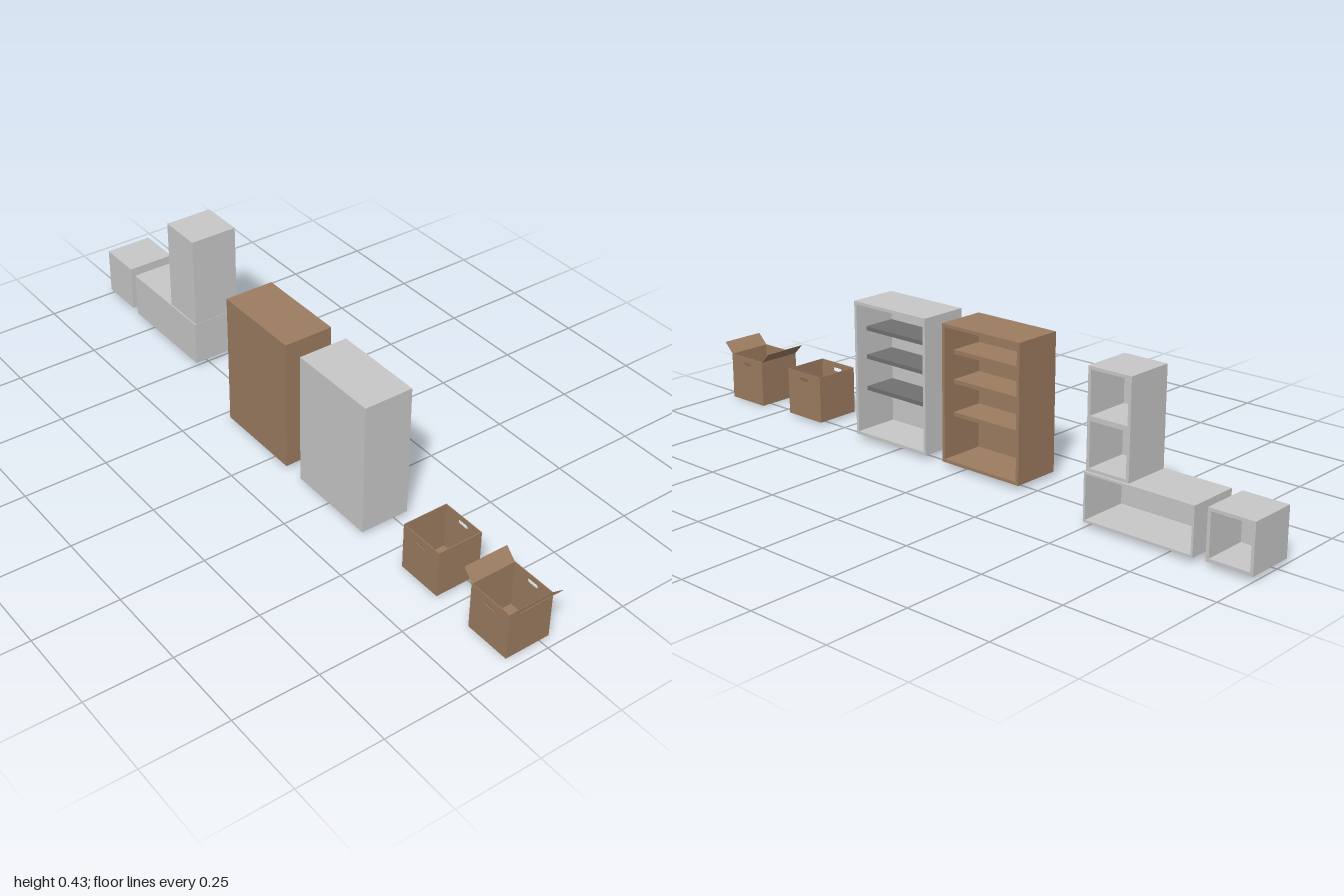
import * as THREE from 'three';

const grey = new THREE.MeshStandardMaterial({ color: 0xc8c8c8 });
grey.name = 'light grey';
const darkGrey = new THREE.MeshStandardMaterial({ color: 0x707070 });
darkGrey.name = 'dark grey';
const brown = new THREE.MeshStandardMaterial({ color: 0x9c7c60, side: THREE.DoubleSide });
brown.name = 'cardboard brown';

// Board given by its two extreme corners
function board(parent, name, mat, [x0, x1], [y0, y1], [z0, z1]) {
  const mesh = new THREE.Mesh(new THREE.BoxGeometry(x1 - x0, y1 - y0, z1 - z0), mat);
  mesh.position.set((x0 + x1) / 2, (y0 + y1) / 2, (z0 + z1) / 2);
  mesh.name = name;
  parent.add(mesh);
  return mesh;
}

// Cabinet with a closed back at -x and an open face at +x
function cabinet(name, mat, x, y, z, t) {
  const g = new THREE.Group();
  g.name = name;
  const innerY = [y[0] + t, y[1] - t];
  board(g, 'bottomPanel', mat, x, [y[0], innerY[0]], z);
  board(g, 'topPanel', mat, x, [innerY[1], y[1]], z);
  board(g, 'frontSidePanel', mat, x, innerY, [z[1] - t, z[1]]);
  board(g, 'rearSidePanel', mat, x, innerY, [z[0], z[0] + t]);
  board(g, 'backPanel', mat, [x[0], x[0] + t], innerY, [z[0] + t, z[1] - t]);
  return g;
}

// Bookcase: cabinet with three recessed shelves
function bookcase(name, mat, shelfMat, z) {
  const t = 0.009;
  const g = cabinet(name, mat, [-0.113, 0.035], [0.013, 0.412], z, t);
  for (const y of [0.145, 0.24, 0.325]) {
    board(g, 'shelf', shelfMat, [-0.113 + t, -0.002], [y - 0.006, y + 0.006], [z[0] + t, z[1] - t]);
  }
  return g;
}

// Open carton with a hand hole in both x sides
function carton(name, y0, z0) {
  const g = new THREE.Group();
  g.name = name;
  const w = 0.138, h = 0.14, t = 0.002;
  const x0 = -0.107, x1 = x0 + w, z1 = z0 + w;
  board(g, 'floor', brown, [x0, x1], [y0, y0 + t], [z0, z1]);
  board(g, 'frontWall', brown, [x0, x1], [y0 + t, y0 + h], [z1 - t, z1]);
  board(g, 'rearWall', brown, [x0, x1], [y0 + t, y0 + h], [z0, z0 + t]);

  const shape = new THREE.Shape();
  const a = w / 2 - t;
  shape.moveTo(-a, t).lineTo(a, t).lineTo(a, h).lineTo(-a, h).closePath();
  const hole = new THREE.Path();
  const r = 0.006, c = 0.012, cy = 0.118;
  hole.absarc(c, cy, r, -Math.PI / 2, Math.PI / 2, false);
  hole.absarc(-c, cy, r, Math.PI / 2, Math.PI * 1.5, false);
  hole.closePath();
  shape.holes.push(hole);
  const geo = new THREE.ExtrudeGeometry(shape, { depth: t, bevelEnabled: false, curveSegments: 5 });
  geo.rotateY(Math.PI / 2);
  for (const x of [x0, x1 - t]) {
    const wall = new THREE.Mesh(geo, brown);
    wall.name = 'handleWall';
    wall.position.set(x, y0, (z0 + z1) / 2);
    g.add(wall);
  }
  return g;
}

// Lid flap, hinged on a wall top and leaning outwards at 45 degrees
function flap(name, z, side) {
  const geo = new THREE.BoxGeometry(0.136, 0.045, 0.0015).translate(0, 0.0225, 0);
  const mesh = new THREE.Mesh(geo, brown);
  mesh.name = name;
  mesh.position.set(-0.038, 0.139, z);
  mesh.rotation.x = side * Math.PI / 4;
  return mesh;
}

export function createModel() {
  const model = new THREE.Group();
  model.name = 'furnitureSet';

  // Cartons
  const openCarton = carton('flappedCarton', 0, 0.83);
  openCarton.add(flap('frontFlap', 0.967, 1), flap('rearFlap', 0.831, -1));
  model.add(openCarton, carton('plainCarton', 0.007, 0.569));

  // Bookcases
  model.add(bookcase('greyBookcase', grey, darkGrey, [0.132, 0.41]));
  model.add(bookcase('brownBookcase', brown, brown, [-0.211, 0.067]));

  // Low bench with a two-compartment tower standing on it
  model.add(cabinet('bench', grey, [-0.045, 0.111], [0.014, 0.15], [-0.832, -0.494], 0.006));
  const tower = cabinet('tower', grey, [-0.041, 0.104], [0.15, 0.427], [-0.629, -0.495], 0.009);
  board(tower, 'divider', grey, [-0.032, 0.104], [0.284, 0.298], [-0.62, -0.504]);
  model.add(tower);

  // Separate cube
  model.add(cabinet('cube', grey, [-0.041, 0.104], [0.014, 0.154], [-1, -0.865], 0.009));
  return model;
}
